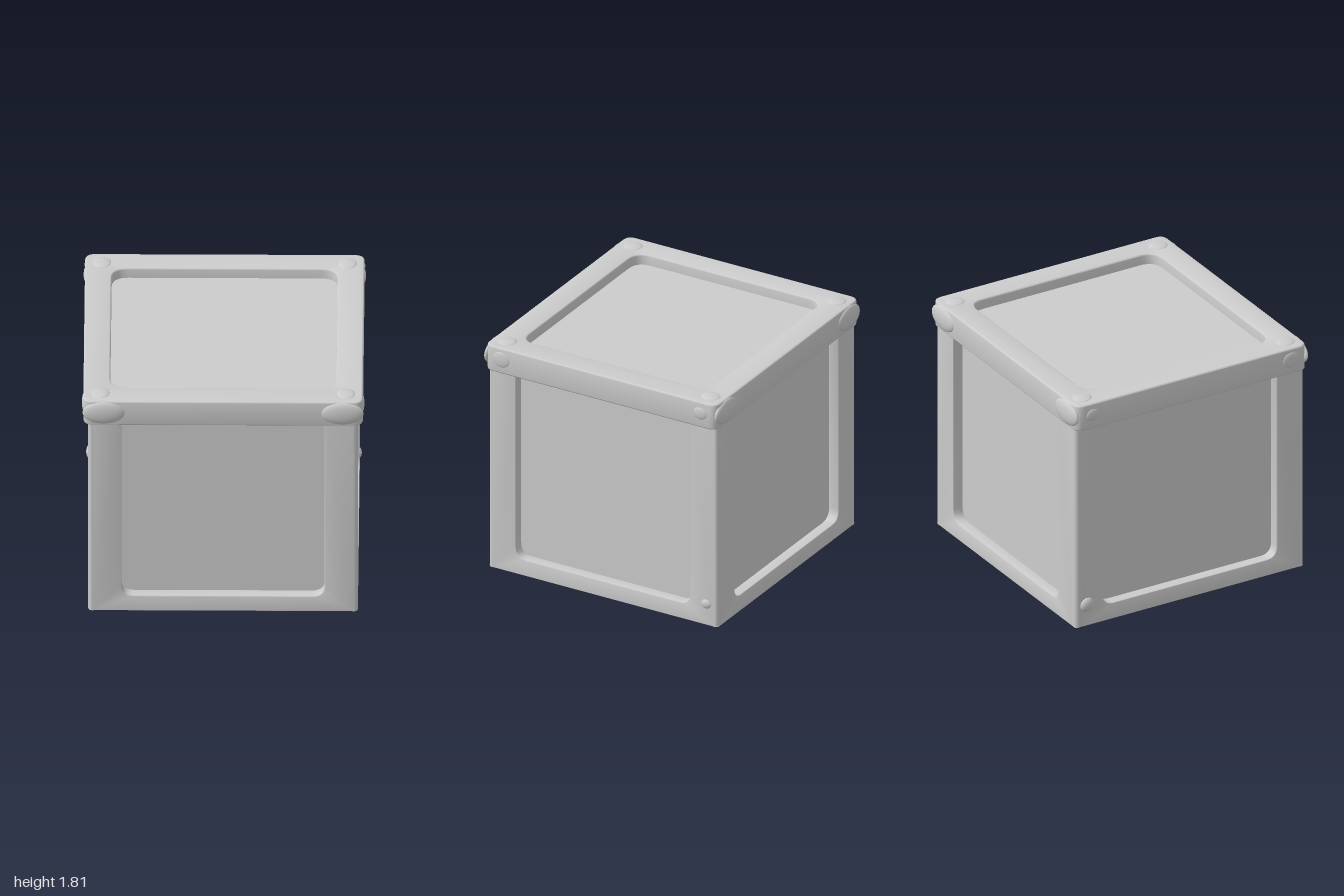
import * as THREE from 'three';
import { toCreasedNormals } from 'three/addons/utils/BufferGeometryUtils.js';

const grey = new THREE.MeshStandardMaterial({ color: 0xcccccc });
grey.name = 'light grey';

const SIGNS = [[1, 1], [1, -1], [-1, 1], [-1, -1]];

// Rounded rectangle, with separate radii for the lower and upper corners
function roundedRect(path, x0, y0, x1, y1, low, high = low) {
  path.moveTo(x0 + low, y0);
  path.lineTo(x1 - low, y0);
  path.quadraticCurveTo(x1, y0, x1, y0 + low);
  path.lineTo(x1, y1 - high);
  path.quadraticCurveTo(x1, y1, x1 - high, y1);
  path.lineTo(x0 + high, y1);
  path.quadraticCurveTo(x0, y1, x0, y1 - high);
  path.lineTo(x0, y0 + low);
  path.quadraticCurveTo(x0, y0, x0 + low, y0);
  return path;
}

function extrude(shape, depth, bevel) {
  const geo = new THREE.ExtrudeGeometry(shape, {
    depth: depth - 2 * bevel, bevelEnabled: true, bevelSize: bevel, bevelOffset: -bevel,
    bevelThickness: bevel, bevelSegments: 3, curveSegments: 8,
  });
  geo.translate(0, 0, bevel);
  return toCreasedNormals(geo, 0.7);
}

export function createModel() {
  const model = new THREE.Group();
  model.name = 'crate';

  function add(name, geo, x = 0, y = 0, z = 0) {
    const mesh = new THREE.Mesh(geo, grey);
    mesh.name = name;
    mesh.position.set(x, y, z);
    model.add(mesh);
    return mesh;
  }
  // Flattened dome pressed into a surface
  function bump(name, x, y, z, rx, ry, rz) {
    add(name, new THREE.SphereGeometry(1, 32, 20), x, y, z).scale.set(rx, ry, rz);
  }

  // Inner box, whose sides are the recessed panels
  add('recessedPanels', new THREE.BoxGeometry(1.75, 1.61, 1.73), 0, 0.835, 0);

  // Raised frame around each side panel, open towards the lid
  const wall = 0.08, corner = 0.03;
  function frame(name, half, distance, angle) {
    const w = half - corner;
    const shape = new THREE.Shape();
    shape.moveTo(-w, 0.025);
    shape.lineTo(w, 0.025);
    shape.lineTo(w, 1.64);
    shape.lineTo(-w, 1.64);
    shape.closePath();
    shape.holes.push(roundedRect(new THREE.Path(), -0.72, 0.15, 0.72, 1.62, 0.09, 0.001));
    const geo = extrude(shape, wall, 0.004);
    geo.translate(0, 0, distance - wall);
    add(name, geo).rotation.y = angle;
  }
  frame('frontFrame', 0.955, 0.945, 0);
  frame('backFrame', 0.955, 0.945, Math.PI);
  frame('leftFrame', 0.945, 0.955, Math.PI / 2);
  frame('rightFrame', 0.945, 0.955, -Math.PI / 2);

  // Lid rim with a rounded opening, and its sunken floor
  const rim = roundedRect(new THREE.Shape(), -0.99, -0.955, 0.99, 0.955, 0.07);
  rim.holes.push(roundedRect(new THREE.Path(), -0.8, -0.765, 0.8, 0.765, 0.12));
  const rimGeo = extrude(rim, 0.2, 0.012);
  rimGeo.rotateX(-Math.PI / 2);
  add('lidRim', rimGeo, 0, 1.6, 0);
  add('lidPanel', new THREE.BoxGeometry(1.68, 0.1, 1.6), 0, 1.67, 0);

  for (const [sx, sz] of SIGNS) {
    // Rounded upright edge
    add('cornerEdge', new THREE.CylinderGeometry(corner, corner, 1.6, 20),
      sx * (0.955 - corner), 0.825, sz * (0.945 - corner));

    // Low quarter-round foot flaring into the base
    const start = Math.atan2(-sx, -sz) - Math.PI / 4;
    add('foot', new THREE.CylinderGeometry(0.42, 0.3, 0.032, 24, 1, false, start, Math.PI / 2),
      sx * 0.95, 0.016, sz * 0.94);

    // Lid corner guards and studs
    bump('lidCornerGuard', sx * 0.845, 1.705, sz * 0.95, 0.15, 0.09, 0.032);
    bump('lidTopStud', sx * 0.87, 1.798, sz * 0.84, 0.065, 0.014, 0.07);
    const r = sz > 0 ? 0.07 : 0.055;
    bump('lidSideStud', sx * 0.988, 1.71, sz * 0.82, 0.012, r * 0.85, r);
  }

  // Small studs low on the sides, near the back
  bump('lowerLeftStud', 0.952, 0.19, -0.85, 0.018, 0.035, 0.04);
  bump('lowerRightStud', -0.952, 0.19, -0.85, 0.03, 0.055, 0.055);
  return model;
}
